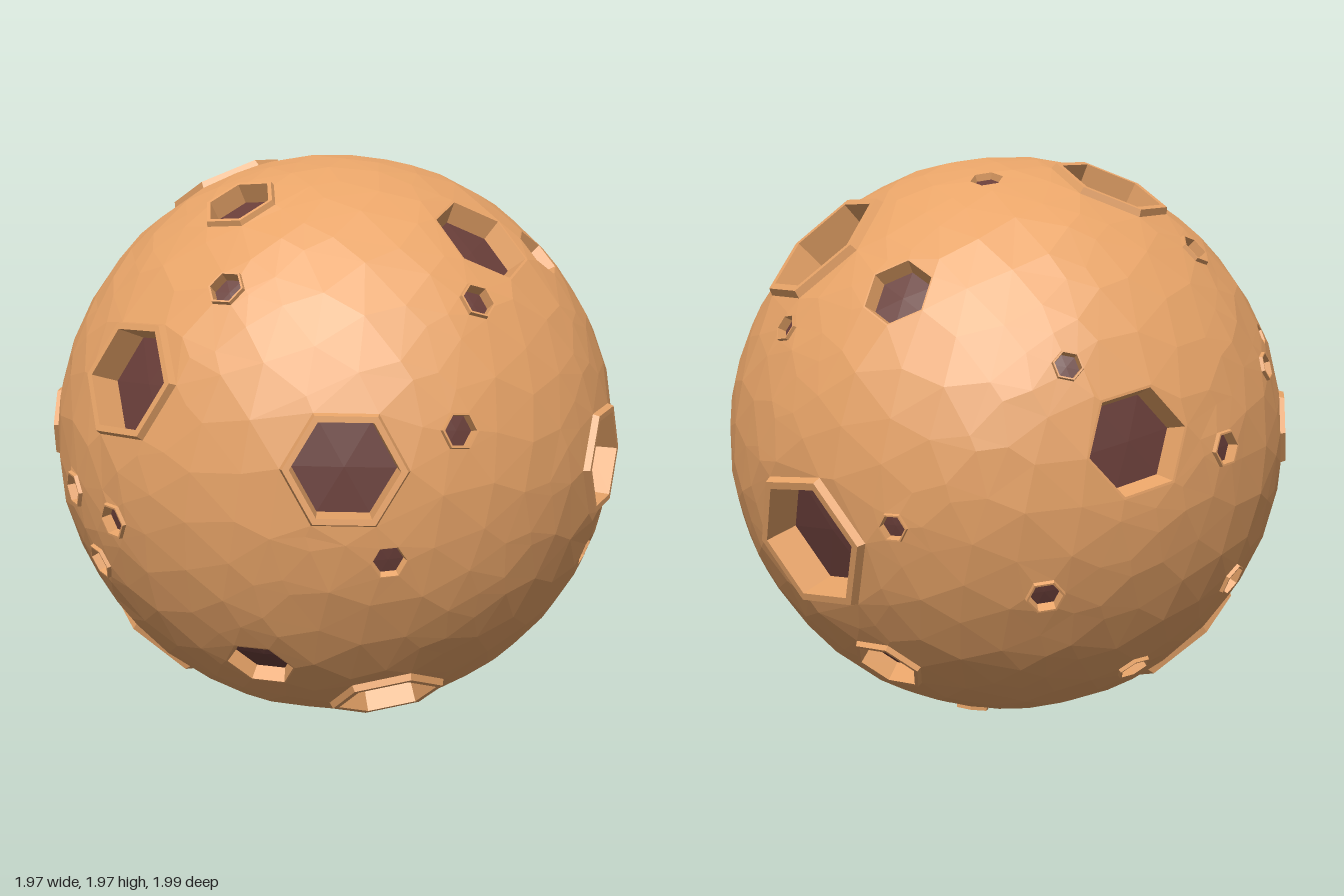
import * as THREE from 'three';
import { ConvexGeometry } from 'three/addons/geometries/ConvexGeometry.js';

const R = 0.985;

// Crater sizes, each with its [longitude, latitude] places in degrees
const RAISED = [
  { r: 0.25, at: [[-63, -49], [152, 45], [173, -14]] },
  { r: 0.21, at: [[-20, 19], [-90, 64]] },
  { r: 0.195, at: [[26, 6], [41, -52], [90, 0]] },
  { r: 0.133, at: [[-13, 59], [-65, 3], [-178, -43]] },
  { r: 0.063, at: [[-1, 38], [47, 12], [57, 35], [-37, -5], [-22, -8], [-32, -19],
    [-88, -25], [-86, 43], [-101, 4], [-138, -21], [-108, -45], [-173, -75]] },
  { r: 0.05, at: [[-79, 17], [162, 26], [-134, 21], [-166, -8]] },
];
const FLUSH = [
  { r: 0.18, at: [[72, 49], [-121, 7]] },
  { r: 0.12, at: [[6, -38], [-170, 35], [121, -45]] },
  { r: 0.1, at: [[96, 43]] },
  { r: 0.058, at: [[34, -11], [92, -20], [-155, 67], [105.5, 0]] },
  { r: 0.04, at: [[-71, 23]] },
];

function makeCrater(r, [lon, lat], raised) {
  const n = new THREE.Vector3().setFromSphericalCoords(1,
    THREE.MathUtils.degToRad(90 - lat), THREE.MathUtils.degToRad(lon));
  const q = new THREE.Quaternion().setFromUnitVectors(new THREE.Vector3(0, 0, 1), n);
  const base = Math.sqrt(R * R - r * r);
  return { n, q, r, raised, base, center: n.clone().multiplyScalar(R),
    reach: Math.hypot(r, R - base) };
}

const CRATERS = [
  ...RAISED.flatMap(({ r, at }) => at.map(place => makeCrater(r, place, true))),
  ...FLUSH.flatMap(({ r, at }) => at.map(place => makeCrater(r, place, false))),
];

// Six corners at a given radius and height along the crater's axis
function hexRing(crater, radius, height) {
  return Array.from({ length: 6 }, (_, i) => {
    const a = i * Math.PI / 3;
    return new THREE.Vector3(radius * Math.cos(a), radius * Math.sin(a), height).applyQuaternion(crater.q);
  });
}

function meshFrom(points, material, name) {
  const geometry = new THREE.BufferGeometry().setFromPoints(points);
  geometry.computeVertexNormals();
  const mesh = new THREE.Mesh(geometry, material);
  mesh.name = name;
  return mesh;
}

// Faceted sphere with an open hexagon at each crater
function buildSurface(material) {
  const points = CRATERS.flatMap(c => hexRing(c, c.r, c.base));
  const clearOfCraters = (p, gap) => CRATERS.every(c => p.distanceTo(c.center) > c.reach + gap);
  const count = 720;
  for (let i = 0; i < count; i++) {
    const y = 1 - 2 * (i + 0.5) / count;
    const a = i * 2.399963 + 0.06 * Math.sin(i * 12.9);
    const s = Math.sqrt(1 - y * y);
    const p = new THREE.Vector3(s * Math.cos(a), y + 0.025 * Math.sin(i * 7.3), s * Math.sin(a)).setLength(R);
    if (clearOfCraters(p, 0.015)) points.push(p);
  }
  const hull = new ConvexGeometry(points).getAttribute('position');
  const kept = [];
  for (let i = 0; i < hull.count; i += 3) {
    const tri = [0, 1, 2].map(k => new THREE.Vector3().fromBufferAttribute(hull, i + k));
    if (CRATERS.some(c => tri.every(p => p.distanceTo(c.center) < c.reach + 0.001))) continue;
    for (const p of tri) {
      // gentle unevenness away from the crater edges
      if (clearOfCraters(p, 0.005)) {
        p.multiplyScalar(1 + 0.004 * Math.sin(p.x * 17 + p.y * 9) * Math.sin(p.z * 15 - p.y * 11));
      }
      kept.push(p);
    }
  }
  return meshFrom(kept, material, 'surface');
}

// Rim, inner wall and dark floor of one crater
function buildCrater(c, rock, dark) {
  const group = new THREE.Group();
  group.name = 'crater';
  const lift = c.raised ? 0.008 + 0.07 * c.r : 0;
  const floorHeight = c.base - 0.38 * c.r;
  const rings = [
    hexRing(c, c.r, c.base),
    hexRing(c, c.r * 0.96, c.base + lift),
    hexRing(c, c.r * (c.raised ? 0.85 : 0.95), c.base + lift),
    hexRing(c, c.r * 0.82, floorHeight),
  ];
  const sides = [];
  for (let k = 0; k < 3; k++) {
    for (let i = 0; i < 6; i++) {
      const j = (i + 1) % 6, a = rings[k], b = rings[k + 1];
      sides.push(a[i], a[j], b[j], a[i], b[j], b[i]);
    }
  }
  const middle = c.n.clone().multiplyScalar(floorHeight + 0.05 * c.r);
  const floor = rings[3].flatMap((p, i) => [middle, p, rings[3][(i + 1) % 6]]);
  group.add(meshFrom(sides, rock, 'rimAndWall'), meshFrom(floor, dark, 'craterFloor'));
  return group;
}

export function createModel() {
  const rock = new THREE.MeshStandardMaterial({ color: 0xe8a468, flatShading: true });
  const dark = new THREE.MeshStandardMaterial({ color: 0x693e39, flatShading: true });
  const model = new THREE.Group();
  model.name = 'crateredMoon';
  const moon = new THREE.Group();
  moon.name = 'moon';
  moon.position.y = 0.992;
  moon.add(buildSurface(rock));
  for (const c of CRATERS) moon.add(buildCrater(c, rock, dark));
  model.add(moon);
  return model;
}
